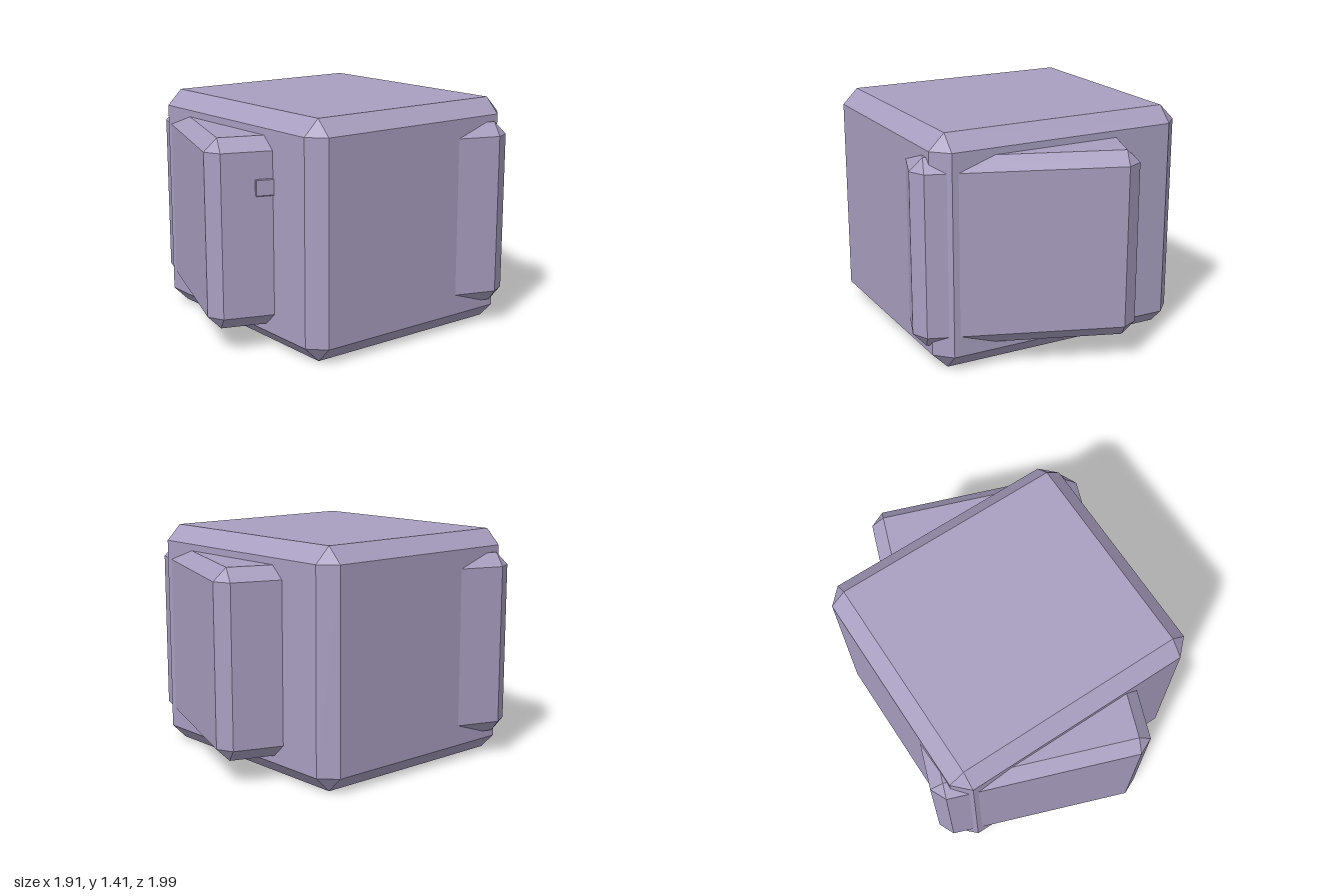
import * as THREE from 'three';
import { ConvexGeometry } from 'three/addons/geometries/ConvexGeometry.js';

// Box with every edge cut at 45 degrees and a small triangle at each corner
function chamferBox(width, height, depth, c) {
  const x = width / 2, y = height / 2, z = depth / 2;
  const points = [];
  for (const sx of [-1, 1]) for (const sy of [-1, 1]) for (const sz of [-1, 1]) {
    points.push(
      new THREE.Vector3(sx * x, sy * (y - c), sz * (z - c)),
      new THREE.Vector3(sx * (x - c), sy * y, sz * (z - c)),
      new THREE.Vector3(sx * (x - c), sy * (y - c), sz * z)
    );
  }
  return new ConvexGeometry(points);
}

export function createModel() {
  const model = new THREE.Group();
  model.name = 'crossedBlocks';

  const lilac = new THREE.MeshStandardMaterial({ color: 0xa99fc1, flatShading: true });
  lilac.name = 'lilac';

  const addBlock = (name, size, chamfer, position, turn = 0) => {
    const mesh = new THREE.Mesh(chamferBox(...size, chamfer), lilac);
    mesh.name = name;
    mesh.position.set(...position);
    mesh.rotation.y = turn;
    model.add(mesh);
  };

  // Tall block turned about the vertical axis
  addBlock('turnedBlock', [1.502, 1.415, 1.64], 0.096, [0, 0.7075, 0], THREE.MathUtils.degToRad(20));
  // Lower, wider block set square through it
  addBlock('straightBlock', [1.882, 1.135, 1.316], 0.078, [-0.001, 0.7105, -0.002]);
  // Small tab on the front of the straight block, running into the turned one
  addBlock('frontTab', [0.2, 0.1, 0.04], 0.005, [-0.565, 0.99, 0.647]);

  return model;
}
